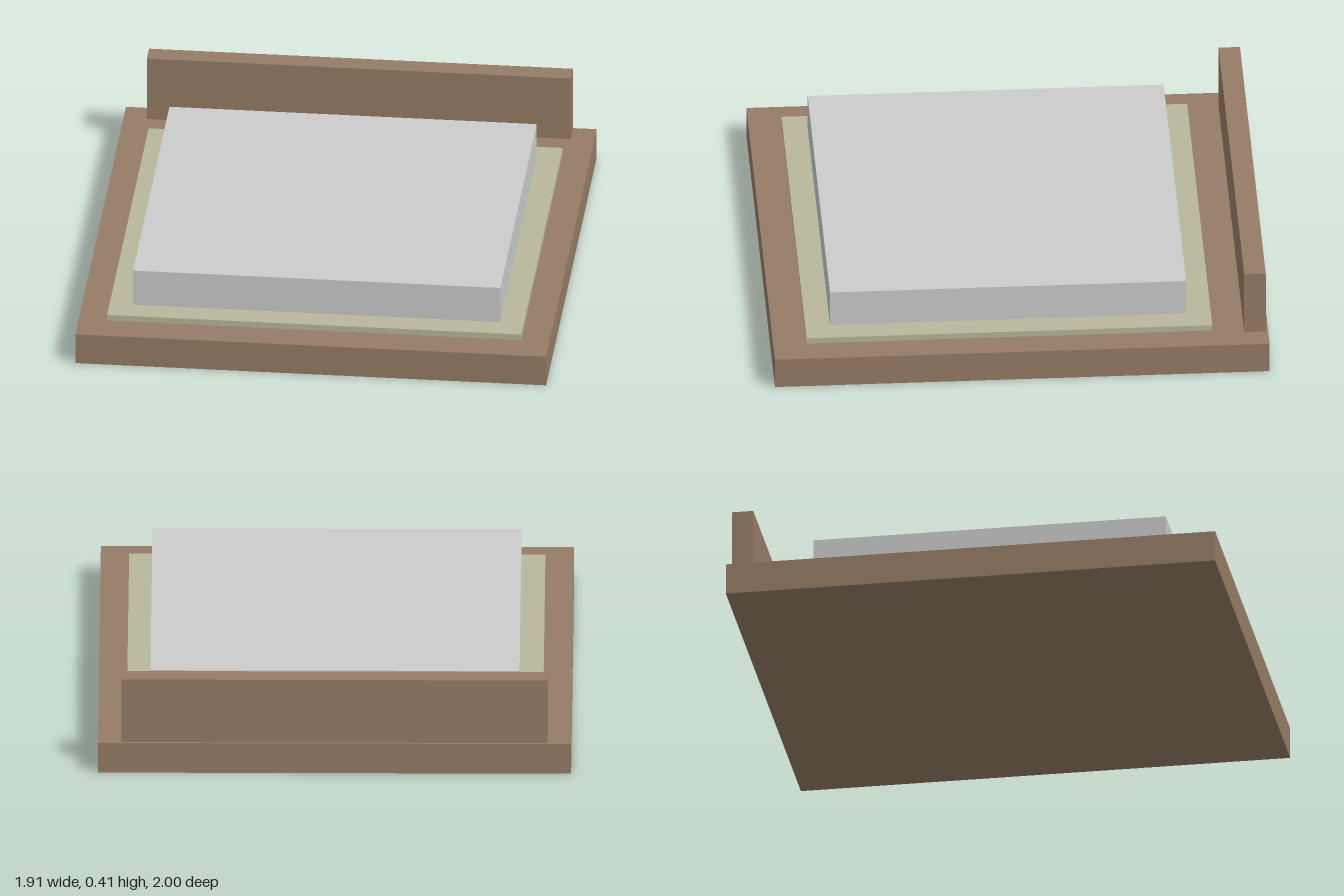
import * as THREE from 'three';

// Box given by its extents along each axis
function slab(name, color, [x0, x1], [y0, y1], [z0, z1]) {
  const mesh = new THREE.Mesh(
    new THREE.BoxGeometry(x1 - x0, y1 - y0, z1 - z0),
    new THREE.MeshStandardMaterial({ color })
  );
  mesh.position.set((x0 + x1) / 2, (y0 + y1) / 2, (z0 + z1) / 2);
  mesh.name = name;
  return mesh;
}

export function createModel() {
  const wood = 0x967c66, cloth = 0xb8b79c, grey = 0xcccccc;
  const group = new THREE.Group();
  group.name = 'platformBed';

  group.add(
    // wide low platform
    slab('platform', wood, [-0.955, 0.955], [0, 0.13], [-1, 1]),
    // thin mat, set slightly forward on the platform
    slab('mat', cloth, [-0.84, 0.84], [0.13, 0.155], [-0.775, 0.865]),
    // thick mattress
    slab('mattress', grey, [-0.745, 0.745], [0.155, 0.31], [-0.675, 0.765]),
    // upright board just inside the rear edge
    slab('headboard', wood, [-0.86, 0.86], [0.13, 0.405], [-0.99, -0.903])
  );
  return group;
}
